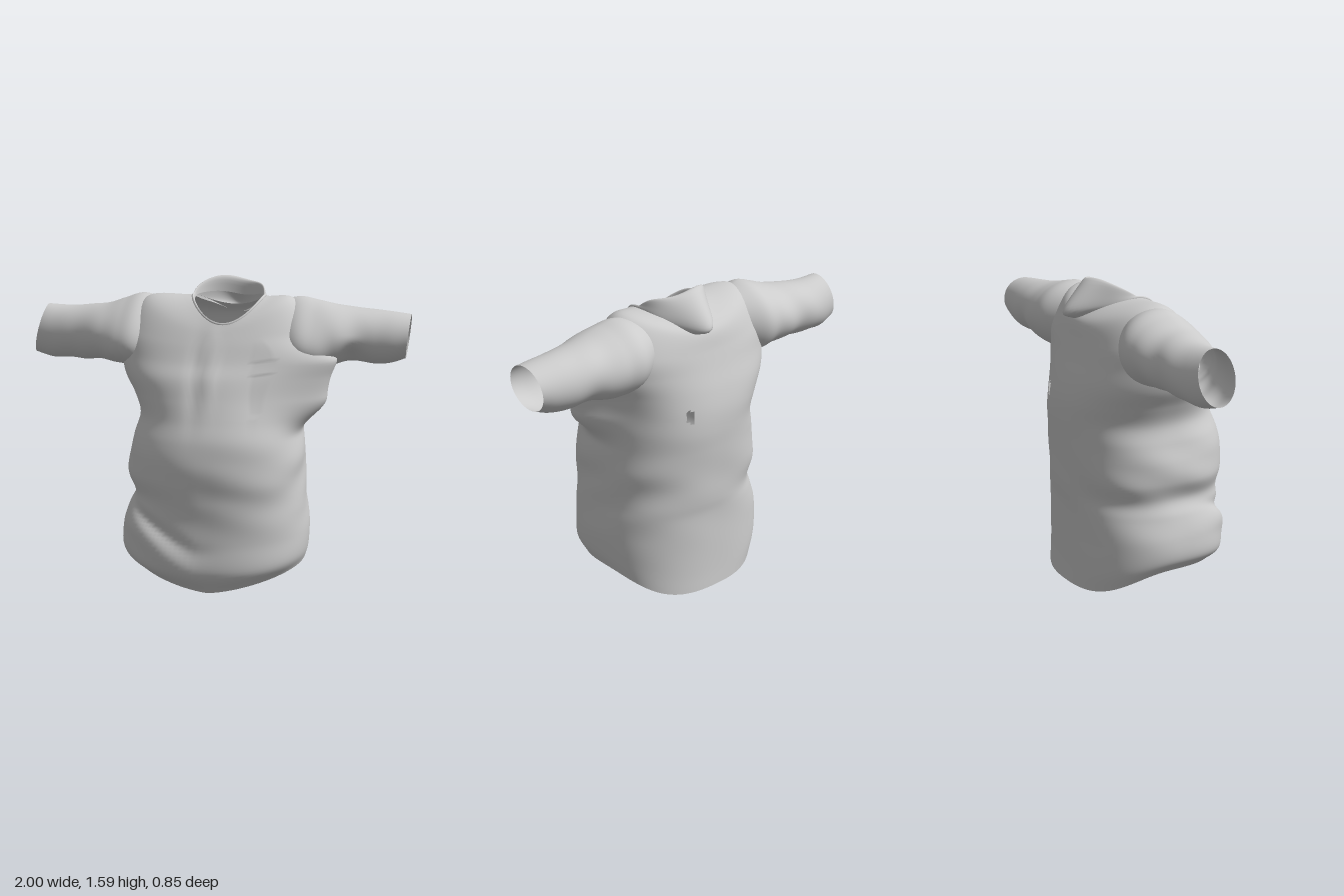
import * as THREE from 'three';

const TAU = Math.PI * 2;
const bell = (v, c, w) => Math.exp(-(((v - c) / w) ** 2));
const power = (v, e) => Math.sign(v) * Math.abs(v) ** e;
const step = THREE.MathUtils.smoothstep;

// Smooth surface through closed key rings; keep(point) false cuts a hole.
function loft(name, ringPoint, keyCount, rows, cols, shape = (p) => p, keep = () => true) {
  const pts = [];
  for (let j = 0; j < cols; j++) {
    const keys = [];
    for (let k = 0; k < keyCount; k++) keys.push(ringPoint(k, (j / cols) * TAU));
    const curve = new THREE.CatmullRomCurve3(keys, false, 'catmullrom', 0.5);
    for (let i = 0; i <= rows; i++) pts[i * cols + j] = shape(curve.getPoint(i / rows));
  }
  const index = [];
  const mid = new THREE.Vector3();
  const tri = (a, b, c) => {
    mid.copy(pts[a]).add(pts[b]).add(pts[c]).divideScalar(3);
    if (keep(mid)) index.push(a, b, c);
  };
  for (let i = 0; i < rows; i++) {
    for (let j = 0; j < cols; j++) {
      const a = i * cols + j, b = i * cols + ((j + 1) % cols);
      tri(a, a + cols, b);
      tri(b, a + cols, b + cols);
    }
  }
  const geo = new THREE.BufferGeometry().setFromPoints(pts);
  geo.setIndex(index);
  geo.computeVertexNormals();
  const mesh = new THREE.Mesh(geo, new THREE.MeshStandardMaterial({ color: 0xcccccc, side: THREE.DoubleSide }));
  mesh.name = name;
  return mesh;
}

// Torso rings: side height, right x, left x, back z, front z, front height, back height
const TORSO = [
  [0.13, -0.42, 0.475, -0.41, 0.35, 0.02, 0.0],
  [0.2, -0.475, 0.495, -0.405, 0.415, 0.13, 0.1],
  [0.31, -0.475, 0.5, -0.4, 0.41, 0.28, 0.28],
  [0.42, -0.44, 0.49, -0.4, 0.41, 0.41, 0.42],
  [0.5, -0.41, 0.48, -0.405, 0.415, 0.5, 0.5],
  [0.6, -0.44, 0.475, -0.41, 0.427, 0.6, 0.6],
  [0.7, -0.435, 0.475, -0.415, 0.425, 0.7, 0.7],
  [0.8, -0.41, 0.46, -0.42, 0.41, 0.8, 0.8],
  [0.9, -0.385, 0.44, -0.425, 0.37, 0.9, 0.9],
  [1.0, -0.42, 0.43, -0.42, 0.33, 1.0, 1.0],
  [1.1, -0.475, 0.45, -0.4, 0.29, 1.1, 1.1],
  [1.2, -0.495, 0.49, -0.37, 0.24, 1.18, 1.2],
  [1.33, -0.48, 0.5, -0.345, 0.195, 1.27, 1.29],
  [1.485, -0.37, 0.4, -0.32, 0.165, 1.325, 1.38],
  [1.495, -0.13, 0.255, -0.27, 0.14, 1.365, 1.43],
];

function torsoPoint(k, a) {
  const [y, x0, x1, z0, z1, yf, yb] = TORSO[k];
  const c = Math.cos(a), s = Math.sin(a);
  const e = k < 13 ? 0.86 : 1;
  const w = k ? s * s : 1 - Math.abs(c) ** (s > 0 ? 1.15 : 3.5);
  return new THREE.Vector3(
    (x0 + x1) / 2 + ((x1 - x0) / 2) * power(c, e),
    y + ((s > 0 ? yf : yb) - y) * w,
    (z0 + z1) / 2 + ((z1 - z0) / 2) * power(s, e),
  );
}

// Sleeve rings, from inside the shoulder out: |x|, bottom y, top y, back z, front z, chest slope
const SLEEVES = {
  '1': [
    [0.3, 1.17, 1.462, -0.26, 0.03, 0.09], [0.42, 1.13, 1.493, -0.325, 0.115, 0.09],
    [0.52, 1.12, 1.477, -0.323, 0.115, 0.07], [0.62, 1.14, 1.455, -0.31, 0.08, 0.03],
    [0.72, 1.16, 1.44, -0.295, 0.03, 0], [0.82, 1.15, 1.43, -0.285, 0.01, 0],
    [0.91, 1.16, 1.42, -0.27, 0.005, 0], [0.985, 1.185, 1.41, -0.255, -0.005, 0],
  ],
  '-1': [
    [0.28, 1.17, 1.465, -0.26, 0.03, 0.09], [0.4, 1.12, 1.498, -0.325, 0.125, 0.09],
    [0.5, 1.13, 1.473, -0.318, 0.12, 0.07], [0.6, 1.14, 1.442, -0.305, 0.08, 0.03],
    [0.7, 1.14, 1.43, -0.295, 0.03, 0], [0.8, 1.14, 1.42, -0.29, -0.005, 0],
    [0.88, 1.14, 1.42, -0.275, -0.03, 0], [0.965, 1.165, 1.425, -0.25, -0.05, 0],
  ],
};

function sleevePoint(side, k, a) {
  const rings = SLEEVES[side];
  const [x, y0, y1, z0, z1, slope] = rings[k];
  const c = Math.cos(a), s = Math.sin(a);
  const tilt = (k / (rings.length - 1)) * (side < 0 ? 0.035 : -0.012);
  return new THREE.Vector3(
    side * (x - tilt * s),
    (y0 + y1) / 2 + ((y1 - y0) / 2) * s,
    (z0 + z1) / 2 + ((z1 - z0) / 2) * c - slope * Math.max(0, c) * s,
  );
}

// True where the torso cloth would close off a sleeve
function inArmhole(p) {
  if (Math.abs(p.x) < 0.42) return false;
  const [, y0, y1, z0, z1] = SLEEVES[p.x > 0 ? 1 : -1][1];
  const dy = (p.y - (y0 + y1) / 2) / ((y1 - y0) / 2);
  const dz = (p.z - (z0 + z1) / 2) / ((z1 - z0) / 2);
  return dy * dy + dz * dz < 0.5;
}

// Cloth folds: a gathered left underarm, a roll at the waist and soft wrinkles
function foldTorso(p) {
  const { x, y, z } = p;
  const rise = step(y, 0.8, 1.0) * (1 - step(y, 1.18, 1.32));
  if (x > 0.25) p.x += 0.165 * rise * bell(z, 0.05, 0.17);
  if (z > 0) {
    const front = Math.min(1, z / 0.25);
    const crease = 0.2 + 0.55 * Math.max(0, -x - 0.03);
    const reach = bell(x, -0.28, 0.2);
    p.z += front * reach * (0.022 * bell(y, crease - 0.06, 0.06) - 0.025 * bell(y, crease + 0.04, 0.035));
    p.z += front * 0.01 * bell(x, 0.02, 0.03) * bell(y, 1.15, 0.2);
    p.z -= front * 0.012 * bell(x, -0.05, 0.035) * bell(y, 1.12, 0.2);
    p.z += front * 0.003 * Math.sin(y * 30 + x * 9) * bell(y, 0.55, 0.22);
  } else {
    p.z += 0.002 * Math.sin(y * 22 - x * 12) * bell(y, 0.55, 0.25);
  }
  p.x += 0.004 * Math.sin(y * 26 + z * 14) * bell(y, 0.6, 0.25) * Math.min(1, Math.abs(x) / 0.4);
  return p;
}

// Wrinkles on the underside of a sleeve, with a deeper tuck on the left one
function foldSleeve(p) {
  const d = Math.abs(p.x);
  const low = THREE.MathUtils.clamp((1.32 - p.y) / 0.15, 0, 1);
  p.y += 0.004 * low * Math.sin(d * 34 + p.z * 8) * bell(d, 0.68, 0.15);
  p.z += 0.004 * Math.sin(d * 28 + p.y * 16) * bell(d, 0.65, 0.15);
  if (p.x > 0) p.y += 0.05 * low * bell(d, 0.7, 0.06) * step(p.z, -0.18, 0);
  return p;
}

// Collar: flush at the front, standing up and pinched to a drooping point at the back
function collarPoint(k, a) {
  const p = torsoPoint(TORSO.length - 1, a);
  const back = Math.max(0, -Math.sin(a));
  const pinch = back ** 8;
  const [inset, lift, backLift, backMove, point] = [
    [0, 0, -0.02, 0, -0.05],
    [0, 0.005, 0.0, 0, -0.105],
    [0.02, 0.009, 0.05, 0.01, -0.095],
    [0.04, 0.01, 0.125, 0.035, -0.015],
    [0.07, 0.004, 0.13, 0.06, 0],
    [0.09, -0.01, 0.07, 0.065, 0],
  ][k];
  p.x += (0.06 - p.x) * inset;
  p.z += (-0.06 - p.z) * inset * 0.5 + backMove * back + point * pinch;
  p.y += lift + backLift * back - (k < 3 ? 0.03 * pinch : 0) + 0.012 * Math.sin(a * 3 + 1) * back;
  return p;
}

export function createModel() {
  const shirt = new THREE.Group();
  shirt.name = 'shirt';

  // Body with open hem, armholes and a small tear in the back
  const tear = (p) => p.z < -0.2 && ((p.x - 0.2) / 0.022) ** 2 + ((p.y - 1.0) / 0.035) ** 2 < 1;
  shirt.add(loft('torso', torsoPoint, TORSO.length, 110, 120, foldTorso, (p) => !inArmhole(p) && !tear(p)));

  // Short sleeves, open at the cuffs
  for (const side of [1, -1]) {
    shirt.add(loft(side > 0 ? 'leftSleeve' : 'rightSleeve',
      (k, a) => sleevePoint(side, k, side * a), 8, 48, 56, foldSleeve));
  }

  shirt.add(loft('collar', collarPoint, 6, 20, 72));
  return shirt;
}
